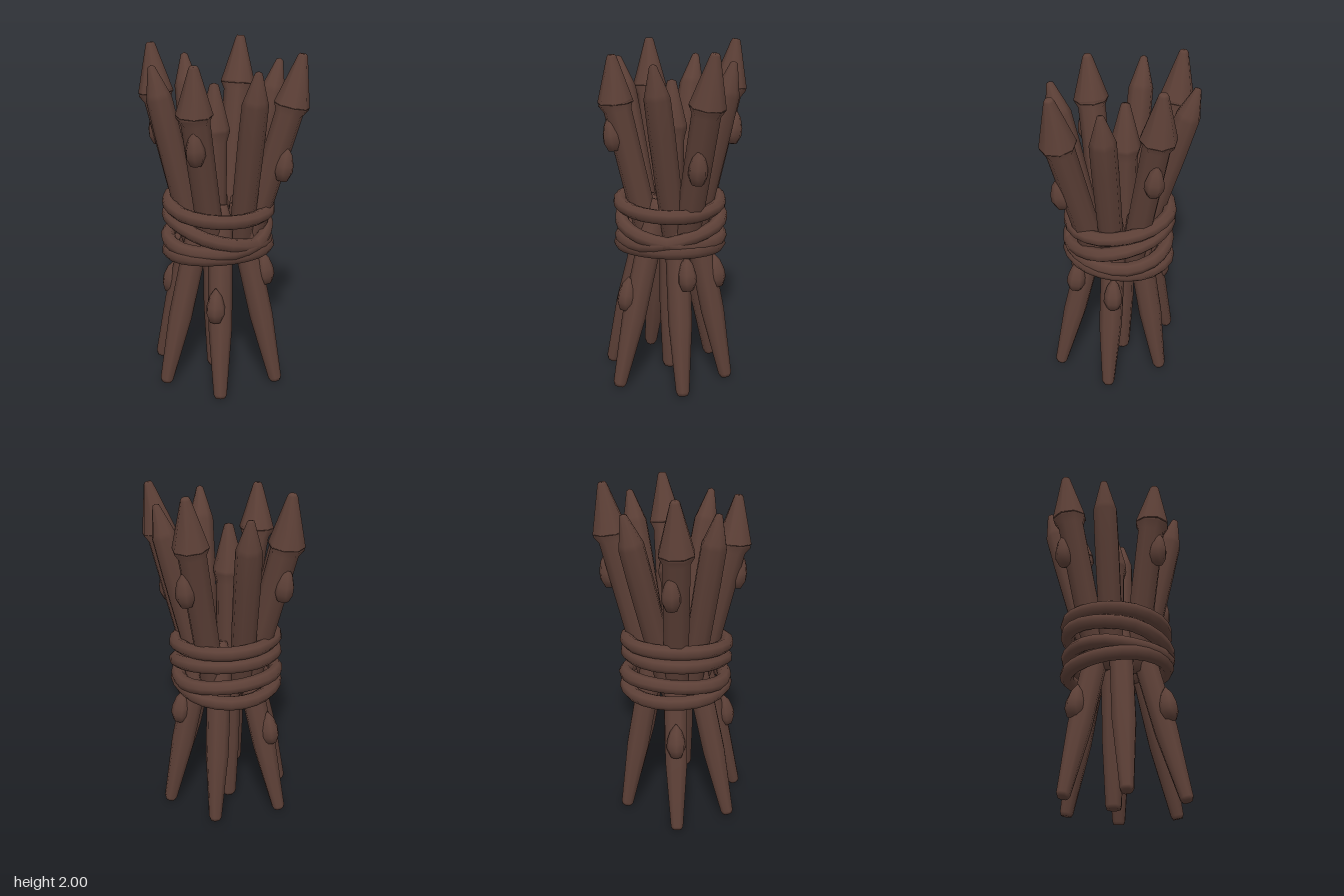
import * as THREE from 'three';

const UP = new THREE.Vector3(0, 1, 0);

export function createModel() {
  const group = new THREE.Group();
  const wood = new THREE.MeshStandardMaterial({ color: 0x5d4037 });
  wood.name = 'dark brown wood';

  // Turned pole from one point to another; makeProfile(length) gives [radius, distance] pairs
  function pole(name, from, to, makeProfile, sides = 8) {
    const a = new THREE.Vector3(...from);
    const dir = new THREE.Vector3(...to).sub(a);
    const pts = makeProfile(dir.length()).map(([r, h]) => new THREE.Vector2(r, h));
    const mesh = new THREE.Mesh(new THREE.LatheGeometry(pts, sides), wood);
    mesh.name = name;
    mesh.position.copy(a);
    mesh.quaternion.setFromUnitVectors(UP, dir.normalize());
    group.add(mesh);
  }

  const shaft = (L) => [
    [0, 0], [0.06, 0.01], [0.075, 0.1], [0.08, L - 0.05], [0.102, L - 0.005], [0.09, L + 0.015], [0, L + 0.02],
  ];
  const point = (L) => [[0, -0.005], [0.102, -0.005], [0.102, 0], [0.028, L - 0.012], [0.02, L], [0, L]];
  const plain = (L) => [
    [0, 0], [0.055, 0.01], [0.07, 0.1], [0.075, L - 0.4],
    [0.073, L - 0.19], [0.064, L - 0.16], [0.02, L - 0.01], [0, L],
  ];
  const legProfile = (L) => [
    [0, 0], [0.03, 0], [0.039, 0.02], [0.069, 0.42], [0.072, L - 0.1], [0.04, L], [0, L],
  ];

  // Thick stakes: shaft up to a collar, then a point that leans a little differently
  [
    [[-0.068, 0.78, -0.13], [-0.165, 1.71, -0.358], [-0.17, 1.99, -0.39]],
    [[0.107, 0.78, -0.063], [0.32, 1.73, -0.16], [0.355, 2.0, -0.172]],
    [[0.07, 0.78, 0.133], [0.205, 1.68, 0.352], [0.245, 1.96, 0.39]],
    [[-0.117, 0.78, 0.06], [-0.317, 1.67, 0.11], [-0.333, 1.93, 0.125]],
  ].forEach(([base, collar, tip]) => {
    pole('thickStake', base, collar, shaft);
    pole('stakePoint', collar, tip, point);
  });

  // Thinner stakes between them
  [
    [[-0.035, 0.78, -0.13], [0.115, 1.9, -0.41]],
    [[0.1, 0.78, 0.045], [0.345, 1.9, 0.145]],
    [[0.03, 0.78, 0.125], [-0.085, 1.9, 0.36]],
    [[-0.125, 0.78, -0.07], [-0.34, 1.9, -0.2]],
  ].forEach(([a, b]) => pole('thinStake', a, b, plain));

  // Upright stake in the middle
  pole('centreStake', [-0.02, 0.01, -0.03], [-0.01, 1.78, -0.04], (L) => [
    [0, 0], [0.04, 0], [0.047, 0.02], [0.066, 0.4], [0.075, L - 0.34],
    [0.091, L - 0.28], [0.089, L - 0.26], [0.026, L - 0.01], [0, L],
  ]);

  // Splayed legs, leaning in to the binding
  [[0.08, 0.385], [-0.3, 0.285], [-0.388, -0.08], [-0.17, -0.355], [0.22, -0.23], [0.325, 0.115]]
    .forEach(([x, z]) => {
      const s = 0.11 / Math.hypot(x, z);
      pole('leg', [x, 0.012, z], [x * s, 1.1, z * s], legProfile);
    });

  // Teardrop knots on the stakes and legs
  const knotProfile = () => [
    [0, 0], [0.036, 0.008], [0.056, 0.055], [0.054, 0.1], [0.036, 0.16], [0, 0.21],
  ];
  [
    [0.152, 1.245, 0.335, 1], [0.335, 1.39, -0.135, 1], [-0.325, 1.39, 0.13, 1], [-0.14, 1.39, -0.365, 1],
    [0.1, 0.61, 0.28, -1], [0.27, 0.57, 0.075, -1], [-0.267, 0.46, 0.215, -1], [-0.14, 0.46, -0.3, -1],
  ].forEach(([x, y, z, lean]) => {
    const k = (lean * 0.03) / Math.hypot(x, z);
    pole('knot', [x, y, z], [x + x * k, y + 0.21, z + z * k], knotProfile, 7);
  });

  // Closed rope winding from the back round by the left; height(angle) is added to the tilt
  function rope(name, turns, tilt, height) {
    const pts = [];
    for (let n = 0; n < 12 * turns; n++) {
      const t = (n / 12) * Math.PI * 2;
      const r = 0.292 + 0.007 * Math.sin(3 * t + height(t) * 20);
      const z = -r * Math.cos(t);
      pts.push(new THREE.Vector3(-r * Math.sin(t) - 0.015, height(t) + tilt * z, z - 0.007));
    }
    const curve = new THREE.CatmullRomCurve3(pts, true);
    const mesh = new THREE.Mesh(new THREE.TubeGeometry(curve, 24 * turns, 0.042, 7, true), wood);
    mesh.name = name;
    group.add(mesh);
  }
  rope('topRope', 1, -0.11, () => 1.08);
  rope('bottomRope', 1, 0.09, () => 0.82);
  // Double turn that crosses itself at the front
  rope('crossedRope', 2, -0.13, (t) => 0.928 + 0.066 * THREE.MathUtils.clamp(1.4 * Math.cos(t / 2), -1, 1));

  return group;
}
